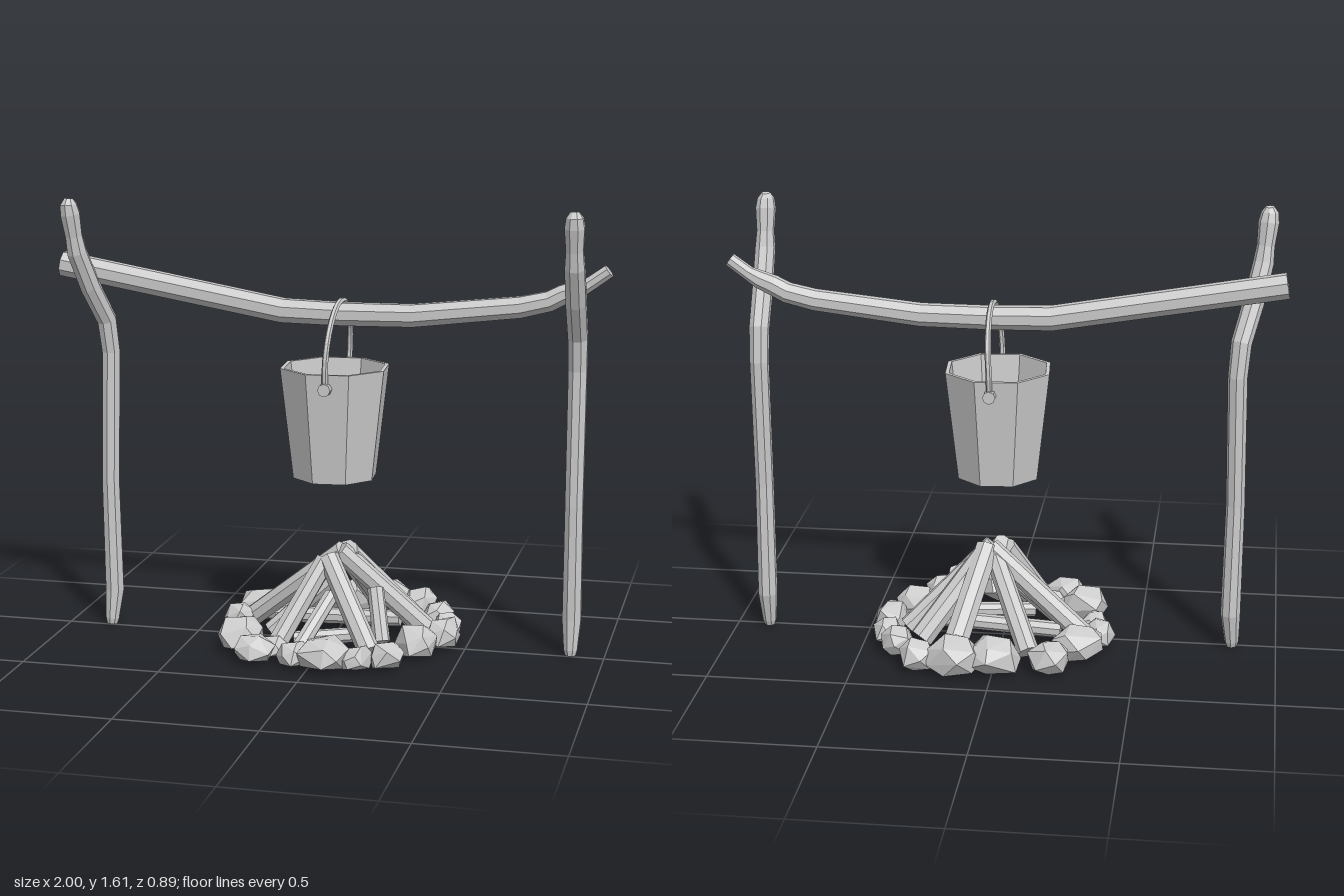
import * as THREE from 'three';
import { ConvexGeometry } from 'three/addons/geometries/ConvexGeometry.js';

const material = new THREE.MeshStandardMaterial({ color: 0xcccccc, flatShading: true });

function seeded(seed) {
  let s = seed;
  return () => (s = (s * 16807) % 2147483647) / 2147483647;
}

function addMesh(parent, name, geometry) {
  const mesh = new THREE.Mesh(geometry, material);
  mesh.name = name;
  parent.add(mesh);
  return mesh;
}

// Faceted branch through points [x, y, z, radius], capped at both ends
function branch(points, sides = 8) {
  const centres = points.map(p => new THREE.Vector3(p[0], p[1], p[2]));
  const last = points.length - 1;
  const pos = [], index = [];
  const push = v => pos.push(v.x, v.y, v.z);
  const axis = centres[last].clone().sub(centres[0]).normalize();
  const ref = Math.abs(axis.z) < 0.75 ? new THREE.Vector3(0, 0, 1) : new THREE.Vector3(1, 0, 0);
  centres.forEach((c, i) => {
    const t = centres[Math.min(i + 1, last)].clone().sub(centres[Math.max(i - 1, 0)]).normalize();
    const u = ref.clone().cross(t).normalize();
    const v = t.clone().cross(u);
    for (let k = 0; k < sides; k++) {
      const a = ((k + 0.5) / sides) * Math.PI * 2;
      push(c.clone().addScaledVector(u, Math.cos(a) * points[i][3]).addScaledVector(v, Math.sin(a) * points[i][3]));
    }
  });
  const start = pos.length / 3;
  push(centres[0]);
  push(centres[last]);
  for (let k = 0; k < sides; k++) {
    const n = (k + 1) % sides;
    for (let i = 0; i < last; i++) {
      const a = i * sides + k, b = i * sides + n;
      index.push(a, b, b + sides, a, b + sides, a + sides);
    }
    index.push(start, n, k, start + 1, last * sides + k, last * sides + n);
  }
  const g = new THREE.BufferGeometry();
  g.setAttribute('position', new THREE.Float32BufferAttribute(pos, 3));
  g.setIndex(index);
  g.computeVertexNormals();
  return g;
}

// Angular stone with a flat underside
function stone(rx, height, rz, rand) {
  const pts = [], n = 17;
  for (let i = 0; i < n; i++) {
    const y = 1 - (2 * (i + 0.5)) / n;
    const r = Math.sqrt(1 - y * y), a = i * 2.4 + rand() * 0.7;
    const k = 0.9 + rand() * 0.22;
    const h = Math.max(0.01, height * (0.44 + 0.58 * y * k));
    pts.push(new THREE.Vector3(Math.cos(a) * r * rx * k, Math.min(h, height), Math.sin(a) * r * rz * k));
  }
  return new ConvexGeometry(pts);
}

export function createModel() {
  const group = new THREE.Group();

  // Two crooked posts sharing one shape, the second turned outward
  const postGeometry = branch([
    [0, 0, -0.01, 0.02], [0, 0.02, -0.012, 0.026], [0, 0.13, -0.027, 0.036], [0, 0.55, -0.018, 0.034],
    [0, 1.03, -0.033, 0.035], [0, 1.15, -0.015, 0.037], [0, 1.28, 0.062, 0.038], [0, 1.41, 0.122, 0.037],
    [0, 1.47, 0.135, 0.032], [0, 1.55, 0.15, 0.037], [0, 1.585, 0.157, 0.031], [0, 1.605, 0.155, 0.016]
  ]);
  addMesh(group, 'leftPost', postGeometry).position.x = 0.88;
  const rightPost = addMesh(group, 'rightPost', postGeometry);
  rightPost.position.x = -0.845;
  rightPost.rotation.y = -0.5;

  // Sagging cross beam
  addMesh(group, 'crossBeam', branch([
    [-0.993, 1.355, 0.008, 0.047], [-0.17, 1.212, 0.01, 0.046], [0.05, 1.207, 0.01, 0.044],
    [0.3, 1.21, 0.01, 0.043], [0.68, 1.253, 0.008, 0.04], [0.78, 1.277, 0.006, 0.038],
    [0.83, 1.303, 0.006, 0.037], [0.88, 1.322, 0.01, 0.033], [0.92, 1.343, 0.012, 0.026], [0.985, 1.39, 0.013, 0.025]
  ]));

  // Eight-sided open bucket
  const bucket = new THREE.Group();
  bucket.name = 'bucket';
  bucket.position.set(0.022, 0.62, 0.018);
  group.add(bucket);
  const profile = [[0, 0], [0.153, 0], [0.2, 0.4], [0.185, 0.4], [0.14, 0.02], [0, 0.02]];
  addMesh(bucket, 'pail', new THREE.LatheGeometry(profile.map(p => new THREE.Vector2(...p)), 8, 0.47));

  // Hoop handle with a pivot on each side
  const arc = [];
  for (let i = 0; i <= 8; i++) {
    const a = (i / 8) * Math.PI;
    arc.push(new THREE.Vector3(0.01 + 0.012 * Math.sin(a), 0.435 + 0.2 * Math.sin(a), Math.cos(a) * 0.197));
  }
  arc.unshift(new THREE.Vector3(0.008, 0.35, 0.19));
  arc.push(new THREE.Vector3(0.008, 0.35, -0.19));
  addMesh(bucket, 'handle', new THREE.TubeGeometry(new THREE.CatmullRomCurve3(arc), 24, 0.011, 6));
  for (const side of [1, -1]) {
    const pivot = addMesh(bucket, 'handlePivot', new THREE.CylinderGeometry(0.023, 0.023, 0.034, 8));
    pivot.rotation.x = Math.PI / 2;
    pivot.position.set(0.008, 0.35, side * 0.192);
  }

  // Leaning logs: foot x, z, then top x, y, z, and radius
  const fire = new THREE.Group();
  fire.name = 'campfire';
  group.add(fire);
  [
    [0.34, -0.08, 0.04, 0.345, 0.02, 0.038], [-0.31, -0.09, 0.05, 0.34, 0.0, 0.038],
    [0.15, -0.31, 0.06, 0.34, 0.0, 0.045], [-0.12, -0.26, 0.03, 0.31, -0.01, 0.038],
    [0.28, -0.18, 0.07, 0.32, -0.02, 0.042], [-0.14, 0.22, 0.0, 0.32, 0.07, 0.036],
    [0.2, 0.25, 0.01, 0.33, 0.07, 0.038], [-0.05, 0.27, 0.03, 0.2, 0.1, 0.028],
    [0.22, 0.13, 0.18, 0.22, 0.05, 0.03], [-0.2, 0.08, 0.02, 0.25, 0.04, 0.032]
  ].forEach(([fx, fz, tx, ty, tz, r]) => {
    addMesh(fire, 'log', branch([[fx, 0.045, fz, r * 1.05], [tx, ty, tz, r]]));
  });

  // Low logs lying across the hearth
  addMesh(fire, 'lowLog', branch([[-0.22, 0.06, -0.08, 0.03], [0.25, 0.08, -0.06, 0.03]]));
  addMesh(fire, 'lowLog', branch([[-0.1, 0.04, 0.15, 0.028], [0.22, 0.06, 0.06, 0.028]]));

  // Ring of stones: x, z, half width, half depth, height
  const rand = seeded(77);
  [
    [-0.2, -0.32, 0.075, 0.08, 0.12], [-0.01, -0.345, 0.1, 0.1, 0.14], [0.14, -0.37, 0.1, 0.1, 0.14],
    [0.265, -0.35, 0.07, 0.075, 0.12], [0.36, -0.225, 0.065, 0.075, 0.11], [0.41, -0.13, 0.055, 0.065, 0.1],
    [0.415, -0.01, 0.065, 0.1, 0.11], [0.345, 0.13, 0.08, 0.085, 0.12], [0.27, 0.29, 0.065, 0.075, 0.1],
    [0.17, 0.33, 0.06, 0.08, 0.09], [0.05, 0.34, 0.095, 0.105, 0.12], [-0.06, 0.33, 0.06, 0.07, 0.09],
    [-0.2, 0.32, 0.075, 0.075, 0.1], [-0.29, 0.19, 0.09, 0.09, 0.13], [-0.15, 0.25, 0.06, 0.065, 0.08],
    [-0.33, 0.05, 0.055, 0.07, 0.08], [-0.36, -0.06, 0.06, 0.07, 0.1], [-0.29, -0.19, 0.1, 0.095, 0.13]
  ].forEach(([x, z, rx, rz, h]) => {
    addMesh(fire, 'ringStone', stone(rx, h, rz, rand)).position.set(x, 0, z);
  });

  return group;
}
